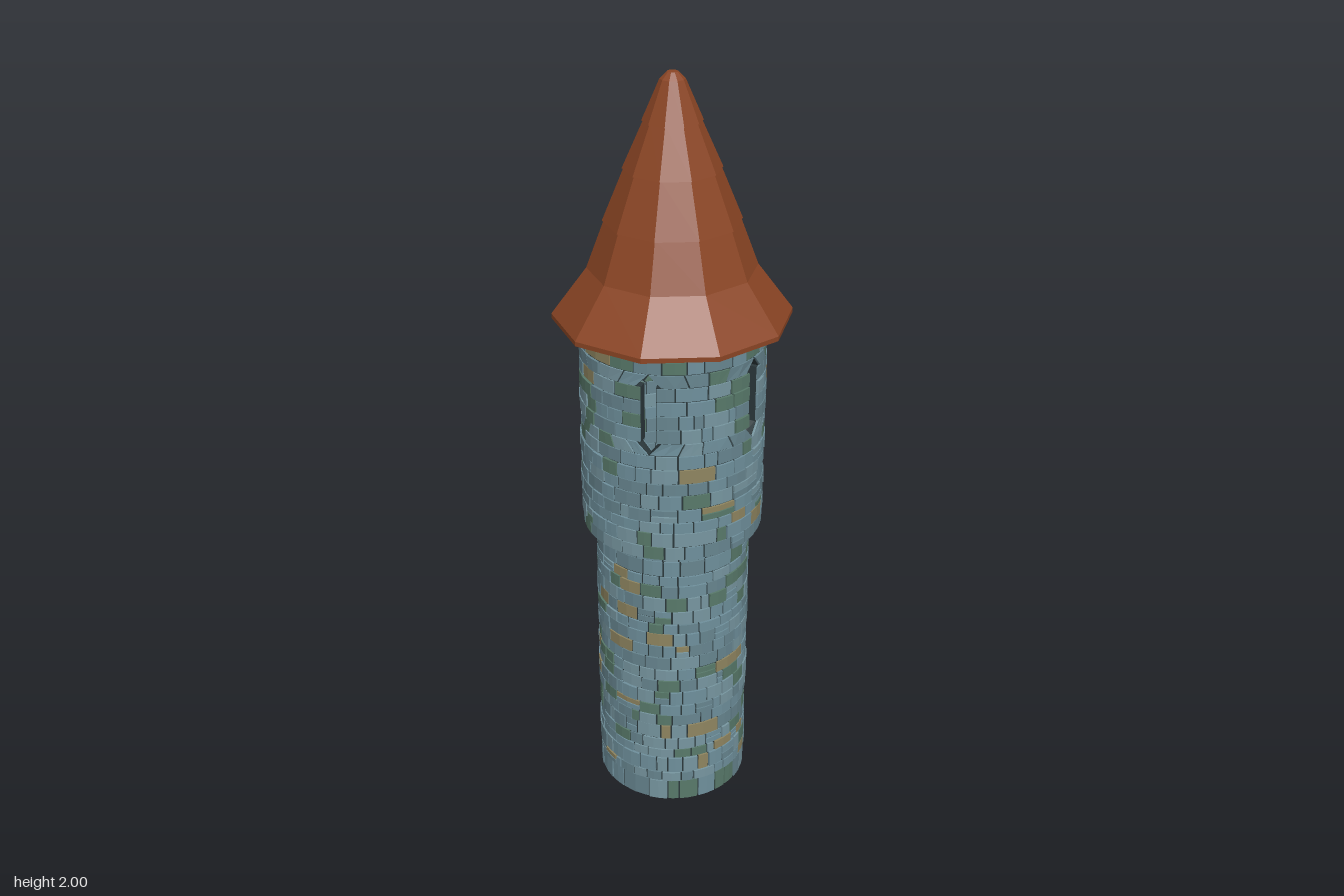
import * as THREE from 'three';
import { mergeGeometries } from 'three/addons/utils/BufferGeometryUtils.js';

const TAU = Math.PI * 2;
const SLITS = 5;
const lerp = THREE.MathUtils.lerp;

// small seeded generator
let seed = 7;
function rand() {
  seed = (seed * 16807) % 2147483647;
  return seed / 2147483647;
}

function material(color) {
  return new THREE.MeshStandardMaterial({ color, flatShading: true });
}

// curved block: angles (from +z) of its two ends at the bottom and at the top
function block(bottom, top, y0, y1, rIn, rOut, segments) {
  const g = new THREE.BoxGeometry(1, 1, 1, segments, 1, 1);
  const p = g.attributes.position;
  for (let i = 0; i < p.count; i++) {
    const u = p.getX(i) + 0.5, v = p.getY(i) + 0.5, w = p.getZ(i) + 0.5;
    const a = lerp(lerp(bottom[0], bottom[1], u), lerp(top[0], top[1], u), v);
    const r = lerp(rIn, rOut, w);
    p.setXYZ(i, r * Math.sin(a), lerp(y0, y1, v), r * Math.cos(a));
  }
  g.computeVertexNormals();
  return g;
}

// half-widths of the arrow slit at the bottom and top of a course
function slitWidths(y0, y1) {
  const mid = (y0 + y1) / 2;
  if (mid < 1.11 || mid > 1.33) return null;
  if (mid < 1.145) return [0, 0.031];
  if (mid > 1.295) return [0.031, 0];
  return [0.019, 0.019];
}

// heights of evenly spaced courses with a little irregularity
function courses(from, to, count) {
  const ys = [];
  for (let i = 0; i <= count; i++) {
    const wobble = i > 0 && i < count ? (rand() - 0.5) * 0.013 : 0;
    ys.push(lerp(from, to, i / count) + wobble);
  }
  return ys;
}

const STONE_COLORS = [0x6f909c, 0x67858f, 0x7796a0, 0x58796a, 0x8f8560];
function pickColor() {
  const r = rand();
  return r < 0.38 ? 0 : r < 0.62 ? 1 : r < 0.82 ? 2 : r < 0.94 ? 3 : 4;
}

// one ring wall: stone courses set into a recessed mortar core
function wall(name, ys, rIn, rOut) {
  const group = new THREE.Group();
  group.name = name;
  const stones = STONE_COLORS.map(() => []);
  const mortar = [];
  const gap = 0.0022;

  for (let row = 0; row < ys.length - 1; row++) {
    const y0 = ys[row], y1 = ys[row + 1];
    const slit = slitWidths(y0, y1);
    const [wb, wt] = slit ? slit.map((w) => w / rOut) : [0, 0];
    const shift = slit ? 0 : rand() * 0.4;
    const rowOut = rOut - rand() * 0.003;

    for (let s = 0; s < SLITS; s++) {
      const a0 = s * TAU / SLITS + shift, a1 = a0 + TAU / SLITS;
      const bottom = [a0 + wb, a1 - wb], top = [a0 + wt, a1 - wt];
      mortar.push(block(bottom, top, y0, y1, rIn + 0.006, rOut - 0.008, 8));

      // uneven vertical joints
      const count = 4 + Math.floor(rand() * 3);
      const cuts = [0];
      for (let i = 1; i < count; i++) cuts.push((i + (rand() - 0.5) * 0.65) / count);
      cuts.push(1);

      for (let i = 0; i < count; i++) {
        const d = gap / rOut;
        const ends = (e) => [lerp(e[0], e[1], cuts[i]) + d, lerp(e[0], e[1], cuts[i + 1]) - d];
        const b = ends(bottom), t = ends(top);
        const face = rowOut - rand() * 0.003;
        const lay = (lo, hi) => stones[pickColor()].push(
          block(b, t, lo + gap * 0.7, hi - gap * 0.7, rIn, face, 2));
        // now and then two thin stones share a course
        if (!slit && rand() < 0.1) {
          const ym = (y0 + y1) / 2;
          lay(y0, ym);
          lay(ym, y1);
        } else lay(y0, y1);
      }
    }
  }

  const core = new THREE.Mesh(mergeGeometries(mortar), material(0x2b383b));
  core.name = name + 'Mortar';
  group.add(core);
  stones.forEach((list, i) => {
    if (!list.length) return;
    const mesh = new THREE.Mesh(mergeGeometries(list), material(STONE_COLORS[i]));
    mesh.name = name + 'Stones' + (i + 1);
    group.add(mesh);
  });
  return group;
}

// ten-sided roof: flared eave, then overlapping tiers up to a blunt tip
function roof() {
  const profile = [
    [0, 1.388], [0.303, 1.388], [0.303, 1.4], [0.213, 1.52],
    [0.166, 1.645], [0.172, 1.64], [0.116, 1.775], [0.122, 1.77],
    [0.068, 1.89], [0.074, 1.885], [0.031, 1.983], [0.014, 2], [0, 2],
  ].map(([r, y]) => new THREE.Vector2(r, y));
  const mesh = new THREE.Mesh(new THREE.LatheGeometry(profile, 10), material(0x8b4524));
  mesh.name = 'roof';
  return mesh;
}

export function createModel() {
  seed = 7;
  const model = new THREE.Group();
  model.name = 'roundTower';

  // shaft
  model.add(wall('shaft', [0, ...courses(0.065, 0.82, 20)], 0.18, 0.209));

  // wider upper storey with five arrow slits
  const upper = [
    ...courses(0.81, 1.11, 8), 1.145, 1.183, 1.22, 1.258, 1.295, 1.33, 1.365, 1.4,
  ];
  model.add(wall('upperStorey', upper, 0.205, 0.242));

  // ledge closing the step between shaft and upper storey
  const ledge = new THREE.Mesh(
    new THREE.LatheGeometry([[0.185, 0.812], [0.232, 0.812], [0.232, 0.83], [0.185, 0.83], [0.185, 0.812]]
      .map(([r, y]) => new THREE.Vector2(r, y)), 40),
    material(0x2b383b));
  ledge.name = 'ledge';
  model.add(ledge);

  model.add(roof());
  return model;
}
